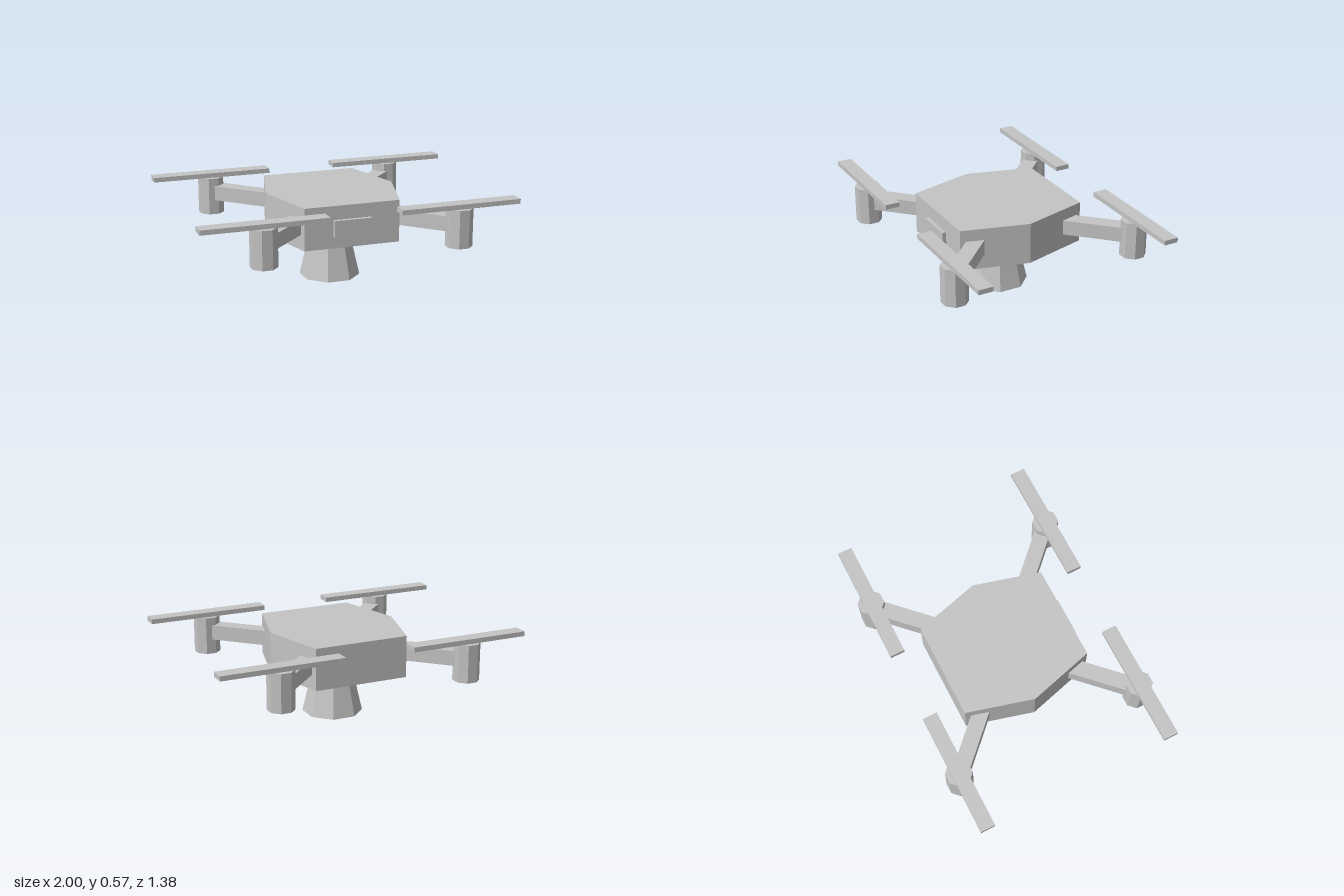
import * as THREE from 'three';

export function createModel() {
  const model = new THREE.Group();
  model.name = 'quadcopter';
  const grey = new THREE.MeshStandardMaterial({ color: 0xc4c4c4 });
  grey.name = 'grey';

  const add = (name, geometry, x, y, z, parent = model) => {
    const flat = geometry.index ? geometry.toNonIndexed() : geometry;
    flat.computeVertexNormals();
    const mesh = new THREE.Mesh(flat, grey);
    mesh.name = name;
    mesh.position.set(x, y, z);
    parent.add(mesh);
    return mesh;
  };

  // Eight-sided prism or frustum with a flat facing front; sizes are across-flat radii
  const octagon = (top, bottom, height) => {
    const k = 1 / Math.cos(Math.PI / 8);
    return new THREE.CylinderGeometry(top * k, bottom * k, height, 8).rotateY(Math.PI / 8);
  };

  // Hexagonal body
  const outline = new THREE.Shape([
    [0.305, 0.42], [-0.305, 0.42], [-0.42, 0], [-0.305, -0.42], [0.305, -0.42], [0.42, 0],
  ].map(([x, z]) => new THREE.Vector2(x, z)));
  const body = new THREE.ExtrudeGeometry(outline, { depth: 0.265, bevelEnabled: false });
  body.rotateX(-Math.PI / 2);
  add('body', body, 0, 0.305, 0);

  // Front panel and flared pedestal
  add('frontPanel', new THREE.BoxGeometry(0.24, 0.105, 0.05), 0, 0.43, 0.42);
  add('pedestal', octagon(0.112, 0.177, 0.305), 0, 0.1525, 0);

  // Four rotor units: diagonal arm, motor and blade
  const reach = 0.615;
  for (const sx of [-1, 1]) {
    for (const sz of [-1, 1]) {
      const rotor = new THREE.Group();
      rotor.name = (sz > 0 ? 'front' : 'back') + (sx > 0 ? 'Left' : 'Right') + 'Rotor';
      model.add(rotor);
      const arm = add('arm', new THREE.BoxGeometry(0.6, 0.095, 0.099), sx * 0.41, 0.4475, sz * 0.41, rotor);
      arm.rotation.y = -sx * sz * Math.PI / 4;
      add('motor', octagon(0.077, 0.077, 0.24), sx * reach, 0.425, sz * reach, rotor);
      add('blade', new THREE.BoxGeometry(0.775, 0.03, 0.092), sx * 0.6125, 0.56, sz * reach, rotor);
    }
  }
  return model;
}
